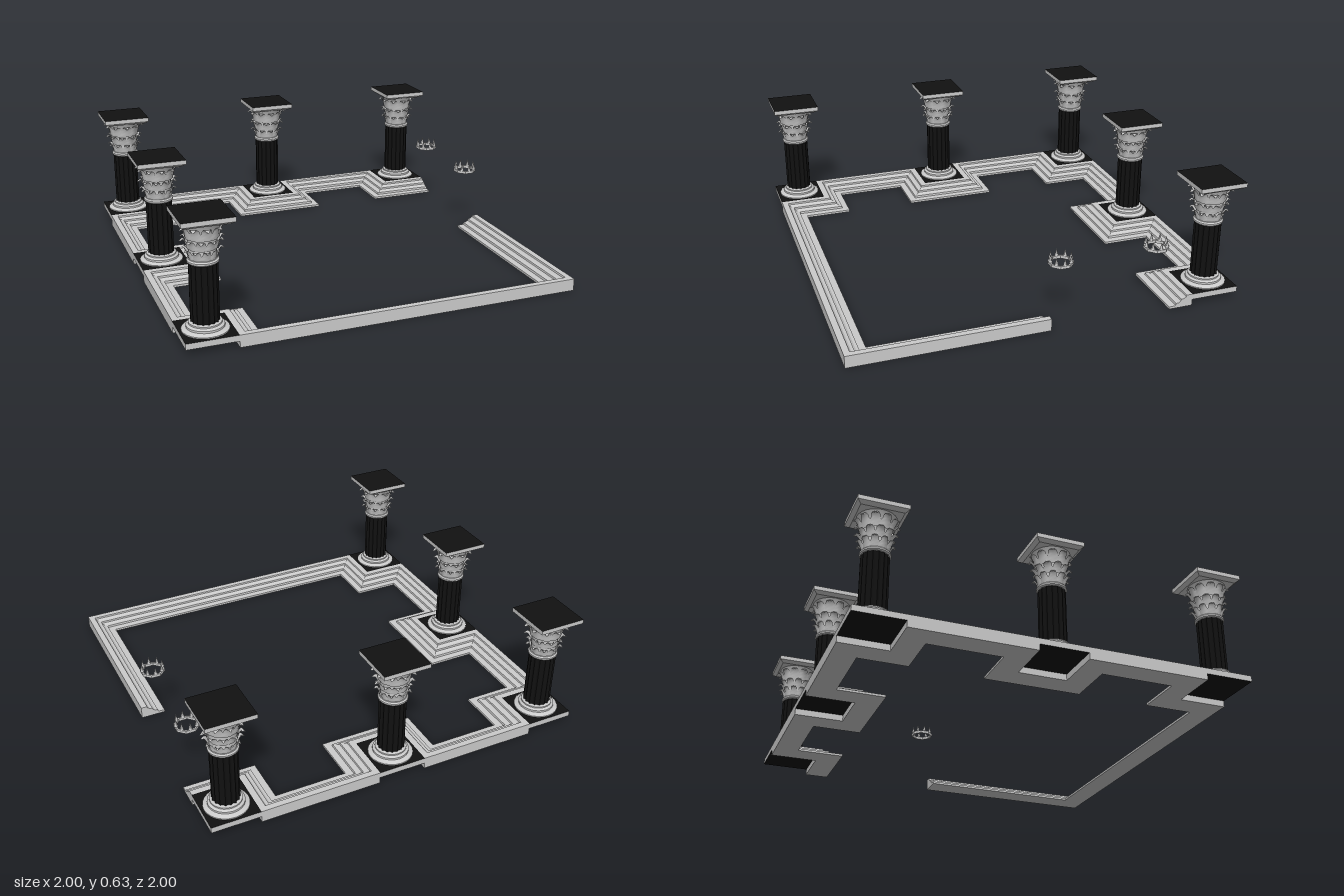
import * as THREE from 'three';
import { mergeGeometries, toCreasedNormals } from 'three/addons/utils/BufferGeometryUtils.js';

const grey = new THREE.MeshStandardMaterial({ color: 0xcccccc });
const thin = new THREE.MeshStandardMaterial({ color: 0xcccccc, side: THREE.DoubleSide });
const dark = new THREE.MeshStandardMaterial({ color: 0x111111 });

function add(parent, name, geometry, material = grey, x = 0, y = 0, z = 0) {
  const mesh = new THREE.Mesh(geometry, material);
  mesh.name = name;
  mesh.position.set(x, y, z);
  parent.add(mesh);
  return mesh;
}

const lathe = (pts, sides) => toCreasedNormals(
  new THREE.LatheGeometry(pts.map(p => new THREE.Vector2(...p)), sides), 0.6);

// Stepped moulding: a profile (distance inward, height) swept with mitred corners
function mouldingGeometry(path, profile) {
  const normals = path.slice(1).map(([x, z], i) => {
    const dx = x - path[i][0], dz = z - path[i][1], l = Math.hypot(dx, dz);
    return [dz / l, -dx / l];
  });
  const rings = path.map(([x, z], i) => {
    const a = normals[i - 1] || [0, 0], b = normals[i] || [0, 0];
    return profile.map(([d, y]) => [x + d * (a[0] + b[0]), y, z + d * (a[1] + b[1])]);
  });
  const pos = [];
  for (let i = 0; i < rings.length - 1; i++) {
    const p = rings[i], q = rings[i + 1];
    for (let j = 0; j < profile.length; j++) {
      const k = (j + 1) % profile.length;
      pos.push(...p[j], ...q[j], ...p[k], ...p[k], ...q[j], ...q[k]);
    }
  }
  // End caps
  const tris = THREE.ShapeUtils.triangulateShape(profile.map(p => new THREE.Vector2(...p)), []);
  for (const ring of [rings[0], rings[rings.length - 1]])
    for (const t of tris) for (const i of t) pos.push(...ring[i]);
  const g = new THREE.BufferGeometry();
  g.setAttribute('position', new THREE.Float32BufferAttribute(pos, 3));
  g.computeVertexNormals();
  return g;
}

// Fluted shaft: a cylinder whose radius dips at each flute
function shaftGeometry(radius, height, flutes) {
  const g = new THREE.CylinderGeometry(radius, radius, height, flutes * 6, 1, true);
  const p = g.attributes.position;
  for (let i = 0; i < p.count; i++) {
    const a = Math.atan2(p.getZ(i), p.getX(i));
    const s = 1 - 0.1 * Math.abs(Math.sin(a * flutes / 2));
    p.setX(i, p.getX(i) * s);
    p.setZ(i, p.getZ(i) * s);
  }
  return toCreasedNormals(g, 0.7);
}

// Leaf: a lobed sheet leaning on the bell and curling out at the tip
function leafGeometry(radius, y0, height, width, flare) {
  const g = new THREE.PlaneGeometry(1, 1, 4, 7);
  const p = g.attributes.position;
  for (let i = 0; i < p.count; i++) {
    const u = p.getX(i) * 2, v = p.getY(i) + 0.5;
    const lobes = 1 + 0.2 * (Math.round(v * 7) % 2);
    const half = width / 2 * lobes * (v > 0.99 ? 0.15 : 1 - 0.55 * v * v);
    const y = y0 + height * (v < 0.85 ? v : 1.7 - v);
    p.setXYZ(i, u * half, y, radius + 0.016 * v + flare * v ** 4 - 0.008 * u * u);
  }
  g.computeVertexNormals();
  return g;
}

function leavesGeometry() {
  const leaves = [];
  const tiers = [[0.066, 0.412, 0.06, 0.016], [0.07, 0.46, 0.06, 0.02], [0.078, 0.51, 0.075, 0.022]];
  tiers.forEach(([r, y, h, flare], t) => {
    for (let i = 0; i < 10; i++)
      leaves.push(leafGeometry(r, y, h, 0.042 + t * 0.006, flare)
        .rotateY((i + t / 2) * Math.PI / 5));
  });
  return mergeGeometries(leaves);
}

// Abacus with its underside drawn in towards the bell
function abacusGeometry() {
  const g = new THREE.BoxGeometry(0.248, 0.036, 0.248, 1, 2, 1);
  const p = g.attributes.position;
  for (let i = 0; i < p.count; i++) {
    const y = p.getY(i);
    if (y < -0.01) { p.setX(i, p.getX(i) * 0.84); p.setZ(i, p.getZ(i) * 0.84); }
    else if (y < 0.01) p.setY(i, -0.004);
  }
  const flat = g.toNonIndexed();
  flat.groups = g.groups;
  flat.computeVertexNormals();
  return flat;
}

export function createModel() {
  const model = new THREE.Group();
  model.name = 'courtyard';

  // Moulding running round every pedestal
  const path = [
    [1, -0.75], [0.75, -0.75], [0.75, -1], [0.125, -1], [0.125, -0.75], [-0.125, -0.75],
    [-0.125, -1], [-0.75, -1], [-0.75, -0.75], [-1, -0.75], [-1, -0.125], [-0.75, -0.125],
    [-0.75, 0.125], [-1, 0.125], [-1, 0.75], [-0.75, 0.75], [-0.75, 1], [1, 1], [1, 0],
  ];
  const profile = [
    [0, 0], [0, 0.0625], [0.032, 0.0625], [0.034, 0.054], [0.045, 0.046], [0.06, 0.044],
    [0.062, 0.035], [0.073, 0.027], [0.088, 0.025], [0.09, 0.014], [0.125, 0.012], [0.125, 0],
  ];
  add(model, 'steppedMoulding', mouldingGeometry(path, profile), thin);

  // Columns, sharing their geometries
  const plinth = new THREE.BoxGeometry(0.25, 0.03, 0.25);
  const base = lathe([[0.112, 0.0625], [0.112, 0.068], [0.098, 0.074], [0.09, 0.078], [0.09, 0.088],
    [0.084, 0.094], [0.078, 0.096], [0.078, 0.103], [0.066, 0.107], [0.06, 0.107]], 24);
  const shaft = shaftGeometry(0.068, 0.29, 16);
  const collar = lathe([[0.06, 0.39], [0.068, 0.39], [0.074, 0.396], [0.074, 0.404],
    [0.068, 0.411], [0.06, 0.411]], 24);
  const bell = lathe([[0.062, 0.405], [0.064, 0.46], [0.07, 0.52], [0.084, 0.57], [0.1, 0.596]], 24);
  const leaves = leavesGeometry();
  const abacus = abacusGeometry();
  for (const [x, z] of [[-0.875, -0.875], [0, -0.875], [0.875, -0.875], [-0.875, 0], [-0.875, 0.875]]) {
    const column = new THREE.Group();
    column.name = 'column';
    column.position.set(x, 0, z);
    add(column, 'plinth', plinth, [grey, grey, dark, dark, grey, grey], 0, 0.0475, 0);
    add(column, 'base', base);
    add(column, 'shaft', shaft, dark, 0, 0.25, 0);
    add(column, 'collar', collar);
    add(column, 'capitalBell', bell);
    add(column, 'capitalLeaves', leaves, thin);
    add(column, 'abacus', abacus, [grey, grey, dark, grey, grey, grey], 0, 0.608, 0);
    model.add(column);
  }

  // Floating spiked rings
  const band = new THREE.LatheGeometry([[0.053, 0.32], [0.0625, 0.32], [0.0625, 0.335],
    [0.053, 0.335], [0.053, 0.32]].map(p => new THREE.Vector2(...p)), 8)
    .rotateY(Math.PI / 8).toNonIndexed();
  band.computeVertexNormals();
  const spike = new THREE.ConeGeometry(0.011, 0.042, 4);
  for (const z of [-0.5625, -0.0625]) {
    const ring = new THREE.Group();
    ring.name = 'spikedRing';
    ring.position.set(0.9375, 0, z);
    add(ring, 'band', band, thin);
    for (let i = 0; i < 8; i++) {
      const a = i * Math.PI / 4;
      add(ring, 'spike', spike, grey, 0.053 * Math.sin(a), 0.355, 0.053 * Math.cos(a)).rotation.y = a;
    }
    model.add(ring);
  }
  return model;
}
